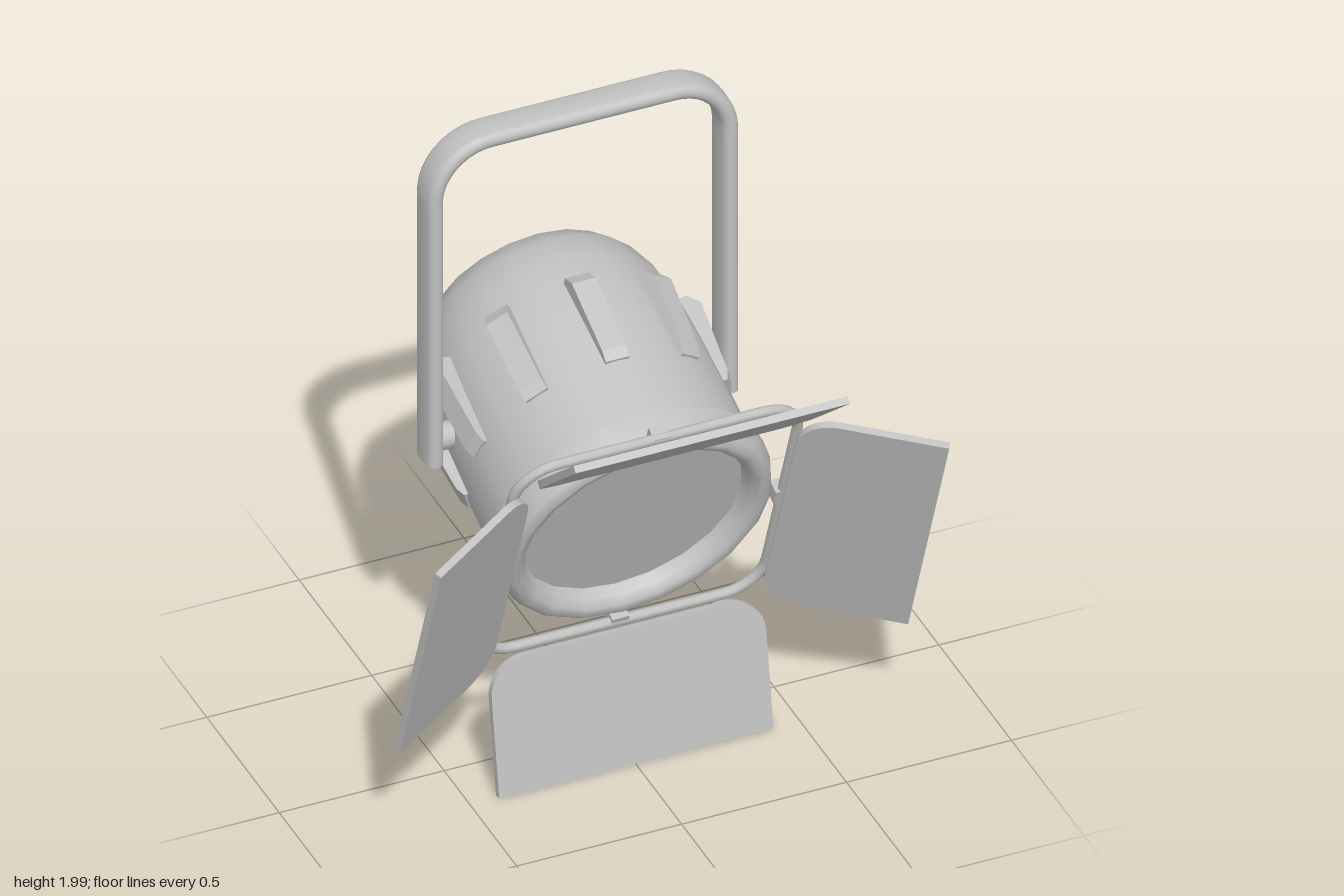
import * as THREE from 'three';
import { mergeVertices } from 'three/addons/utils/BufferGeometryUtils.js';

const V = (x, y) => new THREE.Vector3(x, y, 0);

// Path through points in the XY plane, with rounded corners of radius r
function roundedPath(points, r, closed) {
  const path = new THREE.CurvePath();
  const n = points.length;
  const toward = (a, b) => a.clone().add(b.clone().sub(a).setLength(r));
  let from = closed ? toward(points[0], points[1]) : points[0];
  for (let i = 1; i <= (closed ? n : n - 2); i++) {
    const p = points[i % n];
    const a = toward(p, points[(i - 1) % n]);
    const b = toward(p, points[(i + 1) % n]);
    path.add(new THREE.LineCurve3(from, a));
    // cubic approximation of a quarter circle
    path.add(new THREE.CubicBezierCurve3(a, a.clone().lerp(p, 0.55), b.clone().lerp(p, 0.55), b));
    from = b;
  }
  if (!closed) path.add(new THREE.LineCurve3(from, points[n - 1]));
  return path;
}

export function createModel() {
  const model = new THREE.Group();
  model.name = 'stageLight';
  const grey = new THREE.MeshStandardMaterial({ color: 0xc0c0c0 });
  grey.name = 'grey metal';

  const add = (parent, name, geometry) => {
    const mesh = new THREE.Mesh(geometry, grey);
    mesh.name = name;
    parent.add(mesh);
    return mesh;
  };

  // Lamp head, tilted down; its own axis is z
  const lamp = new THREE.Group();
  lamp.name = 'lampHead';
  lamp.rotation.x = THREE.MathUtils.degToRad(20);
  lamp.position.set(0, 0.794, 0.289);
  model.add(lamp);

  // Turned parts: profile of [radius, z] from back to front
  const lathe = (name, profile) => {
    const points = profile.map(([r, z]) => new THREE.Vector2(r, z));
    return add(lamp, name, new THREE.LatheGeometry(points, 20).rotateX(Math.PI / 2));
  };
  lathe('housing', [
    [0, -0.972], [0.12, -0.972], [0.21, -0.962], [0.28, -0.93], [0.33, -0.87],
    [0.365, -0.78], [0.383, -0.67], [0.39, -0.55], [0.395, -0.35], [0.397, -0.17],
  ]);
  lathe('rimBack', [[0.39, -0.185], [0.417, -0.185]]);
  lathe('lensRim', [
    [0.417, -0.185], [0.415, -0.13], [0.402, -0.092], [0.38, -0.075],
    [0.355, -0.082], [0.337, -0.105], [0.33, -0.15],
  ]);
  add(lamp, 'lens', new THREE.CircleGeometry(0.334, 20).translate(0, 0, -0.14));

  // Cooling fins around the housing, rising slightly to the back
  const finShape = new THREE.Shape([
    [-0.69, 0.36], [-0.39, 0.36], [-0.39, 0.4], [-0.42, 0.412], [-0.65, 0.428], [-0.69, 0.4],
  ].map(([z, r]) => new THREE.Vector2(z, r)));
  const finGeometry = new THREE.ExtrudeGeometry(finShape, { depth: 0.072, bevelEnabled: false })
    .rotateY(-Math.PI / 2).translate(0.036, 0, 0);
  for (let i = 0; i < 10; i++) {
    add(lamp, 'coolingFin', finGeometry).rotation.z = (i * Math.PI) / 5;
  }

  // Square frame that carries the flaps
  const h = 0.432;
  const framePath = roundedPath([V(-h, -h), V(h, -h), V(h, h), V(-h, h)], 0.12, true);
  add(lamp, 'flapFrame', new THREE.TubeGeometry(framePath, 112, 0.016, 8, true).translate(0, 0, -0.084));

  // Flap: square outer corners, rounded corners at the hinge
  const w = 0.416, len = 0.418, c = 0.11;
  const flapShape = new THREE.Shape();
  flapShape.moveTo(-w + c, 0);
  flapShape.lineTo(w - c, 0);
  flapShape.absarc(w - c, c, c, -Math.PI / 2, 0, false);
  flapShape.lineTo(w, len);
  flapShape.lineTo(-w, len);
  flapShape.lineTo(-w, c);
  flapShape.absarc(-w + c, c, c, Math.PI, Math.PI * 1.5, false);
  const flapGeometry = new THREE.ExtrudeGeometry(flapShape, {
    depth: 0.022, bevelEnabled: false, curveSegments: 8,
  }).translate(0, 0, -0.011);
  for (let i = 0; i < 4; i++) {
    const side = new THREE.Group();
    side.name = 'flapSide';
    side.rotation.z = (i * Math.PI) / 2;
    lamp.add(side);
    const flap = add(side, 'flap', flapGeometry);
    flap.position.set(0, 0.412, -0.042);
    flap.rotation.x = 0.515;
    add(side, 'frameClip', new THREE.BoxGeometry(0.052, 0.04, 0.046)).position.set(0, 0.425, -0.095);
  }

  // Yoke: tube widened in z to a flat rounded section
  const tubeR = 0.0265, halfDepth = 0.055, x = 0.4475;
  const widen = (geometry) => {
    const p = geometry.attributes.position;
    for (let i = 0; i < p.count; i++) {
      const z = p.getZ(i);
      p.setZ(i, Math.sign(z) * halfDepth * Math.sqrt(Math.abs(z) / tubeR));
    }
    geometry.deleteAttribute('uv');
    geometry.deleteAttribute('normal');
    const merged = mergeVertices(geometry, 1e-5);
    merged.computeVertexNormals();
    return merged;
  };
  const yoke = new THREE.Group();
  yoke.name = 'yoke';
  yoke.position.z = -0.218;
  model.add(yoke);
  const yokePath = roundedPath([V(-x, 0.915), V(-x, 1.9735), V(x, 1.9735), V(x, 0.915)], 0.17, false);
  add(yoke, 'yokeBar', widen(new THREE.TubeGeometry(yokePath, 96, tubeR, 16, false)));
  for (const s of [-1, 1]) {
    // Closed lower end and pivot knob
    const cap = add(yoke, 'yokeEnd', widen(new THREE.CircleGeometry(tubeR, 16).rotateX(Math.PI / 2)));
    cap.position.set(s * x, 0.915, 0);
    const knob = add(yoke, 'pivotKnob', new THREE.CylinderGeometry(0.04, 0.04, 0.07, 12).rotateZ(Math.PI / 2));
    knob.position.set(s * 0.405, 0.979, 0);
  }
  return model;
}
